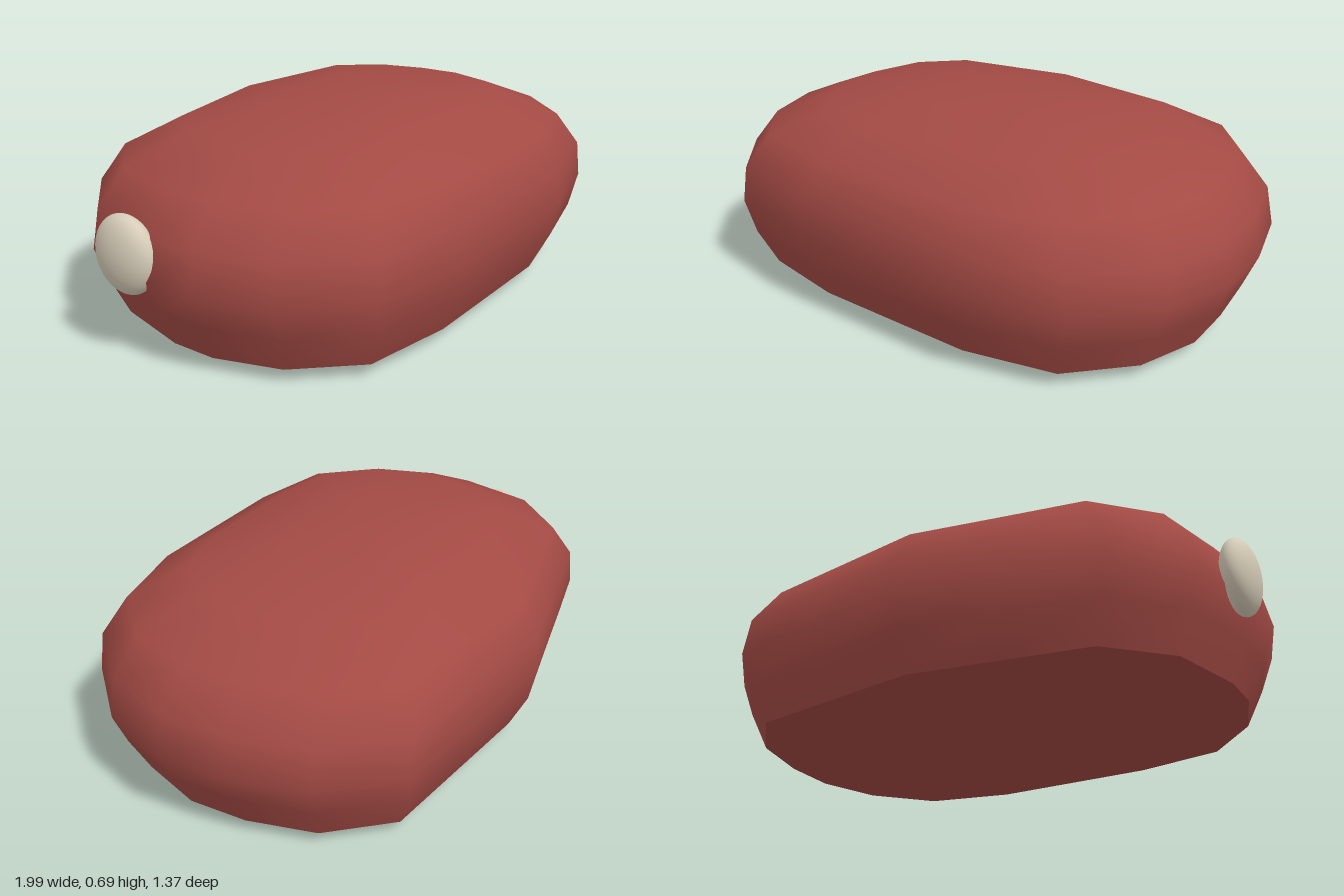
import * as THREE from 'three';
import { mergeVertices } from 'three/addons/utils/BufferGeometryUtils.js';

// widest outline seen from above, as [x, z]
const OUTLINE = [
  [0, -0.69], [0.36, -0.635], [0.72, -0.58], [0.91, -0.36], [0.98, -0.1], [0.99, 0.13],
  [0.91, 0.38], [0.71, 0.6], [0.36, 0.68], [0, 0.675], [-0.32, 0.67], [-0.68, 0.6],
  [-0.88, 0.38], [-0.96, 0.13], [-0.96, -0.05], [-0.88, -0.36], [-0.67, -0.57], [-0.33, -0.63],
];

// stacks scaled copies of the outline; each ring is [y, x scale, z scale], bottom to top
function loft(rings) {
  const n = OUTLINE.length;
  const positions = [];
  const index = [];
  rings.forEach(([y, sx, sz], i) => {
    OUTLINE.forEach(([x, z], j) => {
      positions.push(x * sx, y, z * sz);
      if (i === rings.length - 1) return;
      const a = i * n + j;
      const b = i * n + (j + 1) % n;
      index.push(a, a + n, b, b, a + n, b + n);
    });
  });
  let geometry = new THREE.BufferGeometry();
  geometry.setAttribute('position', new THREE.Float32BufferAttribute(positions, 3));
  geometry.setIndex(index);
  geometry = mergeVertices(geometry);
  geometry.computeVertexNormals();
  return geometry;
}

export function createModel() {
  const model = new THREE.Group();
  const red = new THREE.MeshStandardMaterial({ color: 0xa34a44 });
  red.name = 'brick red';
  const cream = new THREE.MeshStandardMaterial({ color: 0xd6ccb8 });
  cream.name = 'cream';

  const add = (name, geometry, material) => {
    const mesh = new THREE.Mesh(geometry, material);
    mesh.name = name;
    model.add(mesh);
    return mesh;
  };

  // rounded sides and domed top
  add('body', loft([
    [0.05, 0.89, 0.88],
    [0.18, 0.95, 0.97],
    [0.3, 1, 1],
    [0.43, 0.97, 0.99],
    [0.55, 0.87, 0.89],
    [0.64, 0.64, 0.65],
    [0.677, 0.32, 0.32],
    [0.685, 0, 0],
  ]), red);

  // nearly flat underside, kept apart for a sharp lower rim
  add('underside', loft([
    [0, 0, 0],
    [0.005, 0.3, 0.3],
    [0.02, 0.65, 0.65],
    [0.05, 0.89, 0.88],
  ]), red);

  // small oval button on the right end
  const button = add('button', new THREE.SphereGeometry(1, 32, 20), cream);
  button.scale.set(0.06, 0.13, 0.12);
  button.position.set(-0.94, 0.36, -0.14);

  return model;
}
